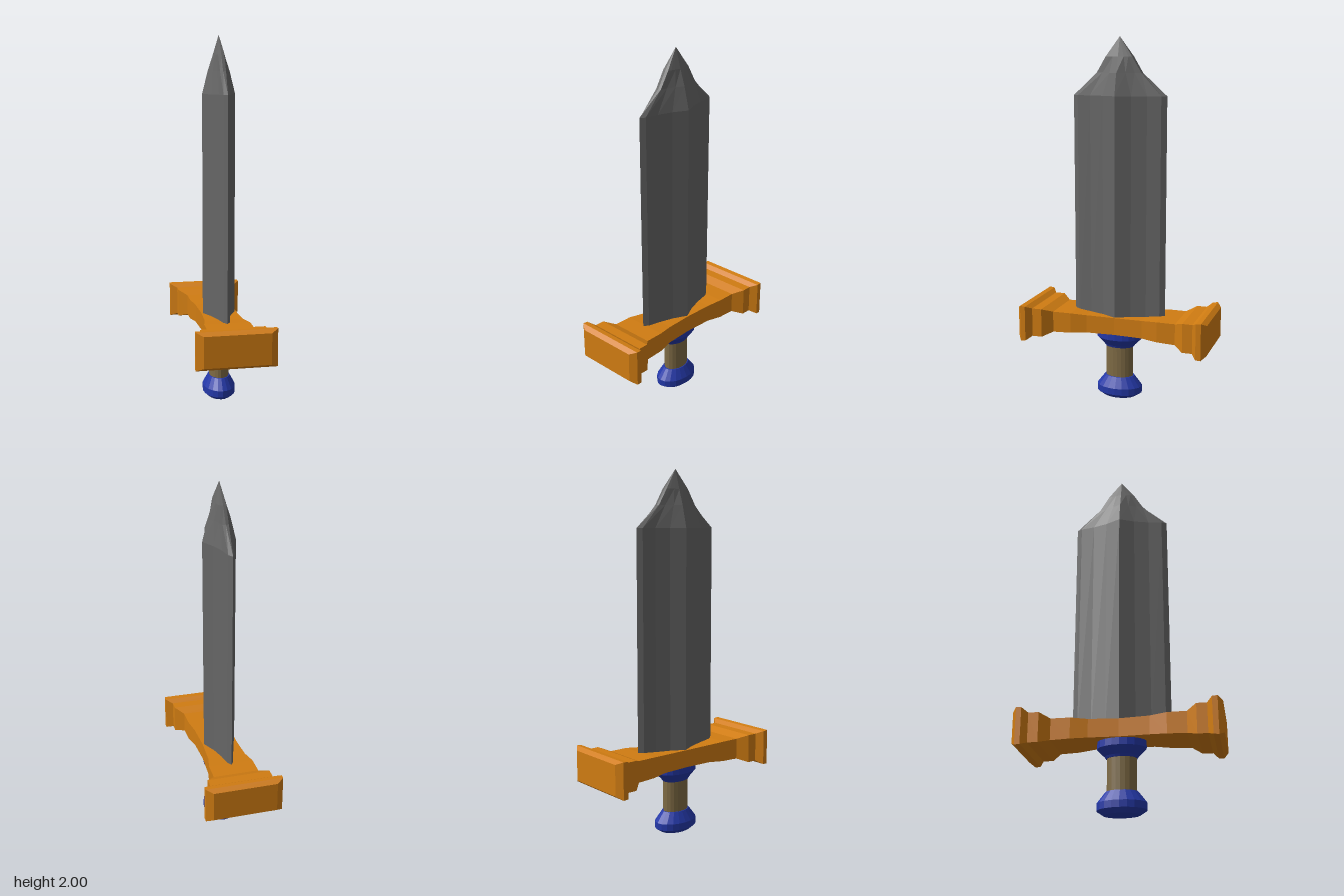
import * as THREE from 'three';

const material = (color) => new THREE.MeshStandardMaterial({ color, flatShading: true });

// Skins a stack of closed rings (counter-clockwise seen from the far end) and caps both ends.
function loft(rings) {
  const pos = [];
  const area = new THREE.Triangle();
  const tri = (a, b, c) => {
    area.set(a, b, c);
    if (area.getArea() > 1e-9) for (const p of [a, b, c]) pos.push(p.x, p.y, p.z);
  };
  const centre = (ring) =>
    ring.reduce((s, p) => s.add(p), new THREE.Vector3()).divideScalar(ring.length);
  const n = rings[0].length;
  const first = rings[0], last = rings[rings.length - 1];
  const c0 = centre(first), c1 = centre(last);
  for (let i = 0; i < n; i++) {
    const j = (i + 1) % n;
    for (let k = 0; k < rings.length - 1; k++) {
      const a = rings[k], b = rings[k + 1];
      tri(a[i], a[j], b[j]);
      tri(a[i], b[j], b[i]);
    }
    tri(c0, first[j], first[i]);
    tri(c1, last[i], last[j]);
  }
  const g = new THREE.BufferGeometry();
  g.setAttribute('position', new THREE.Float32BufferAttribute(pos, 3));
  g.computeVertexNormals();
  return g;
}

// Mirrors a quarter outline of [x, z] points into a full horizontal ring.
function bladeRing(y, quarter) {
  const back = [...quarter].reverse();
  const part = (pts, sx, sz) =>
    pts.slice(0, -1).map(([x, z]) => new THREE.Vector3(x * sx, y, z * sz));
  return [
    ...part(quarter, 1, -1), ...part(back, -1, -1),
    ...part(quarter, -1, 1), ...part(back, 1, 1),
  ];
}

function createBlade() {
  const body = [[0.09, 0], [0.052, 0.08], [0.028, 0.16], [0.017, 0.235], [0, 0.263]];
  const shoulder = [[0.06, 0], [0.04, 0.045], [0.024, 0.09], [0.016, 0.125], [0, 0.128]];
  const neck = [[0.032, 0], [0.027, 0.03], [0.022, 0.055], [0.017, 0.074], [0, 0.076]];
  const tip = body.map(() => [0, 0]);
  return loft([
    bladeRing(0.44, body), bladeRing(1.69, body),
    bladeRing(1.81, shoulder), bladeRing(1.895, neck), bladeRing(2, tip),
  ]);
}

function createGuard() {
  // [z, half width, bottom, top] from the middle to one end
  const half = [
    [0, 0.098, 0.383, 0.48], [0.16, 0.106, 0.383, 0.483], [0.25, 0.124, 0.377, 0.49],
    [0.353, 0.125, 0.373, 0.49], [0.405, 0.172, 0.352, 0.512], [0.46, 0.172, 0.352, 0.512],
    [0.487, 0.211, 0.334, 0.53], [0.515, 0.211, 0.332, 0.533], [0.54, 0.174, 0.35, 0.516],
  ];
  const mirrored = half.slice(1).reverse().map(([z, ...r]) => [-z, ...r]);
  return loft([...mirrored, ...half].map(([z, w, lo, hi]) => [
    new THREE.Vector3(-w, lo, z), new THREE.Vector3(w, lo, z),
    new THREE.Vector3(w, hi, z), new THREE.Vector3(-w, hi, z),
  ]));
}

// Turned part with an oval plan; profile is [z radius, y] from bottom to top.
function oval(profile) {
  const g = new THREE.LatheGeometry(profile.map(([r, y]) => new THREE.Vector2(r, y)), 20);
  return g.scale(0.69, 1, 1);
}

export function createModel() {
  const group = new THREE.Group();
  const steel = material(0x666666), gold = material(0xd07c12);
  const blue = material(0x2438a8), leather = material(0x7f6b45);
  const add = (name, geometry, mat) => {
    const mesh = new THREE.Mesh(geometry, mat);
    mesh.name = name;
    group.add(mesh);
  };

  add('blade', createBlade(), steel);
  add('crossGuard', createGuard(), gold);
  add('grip', oval([[0.078, 0.1], [0.078, 0.31]]), leather);
  add('collar', oval([
    [0, 0.293], [0.082, 0.293], [0.09, 0.305], [0.13, 0.345], [0.13, 0.385], [0, 0.385],
  ]), blue);
  add('pommel', oval([
    [0, 0], [0.095, 0.002], [0.13, 0.025], [0.13, 0.062], [0.085, 0.12], [0, 0.122],
  ]), blue);
  return group;
}
